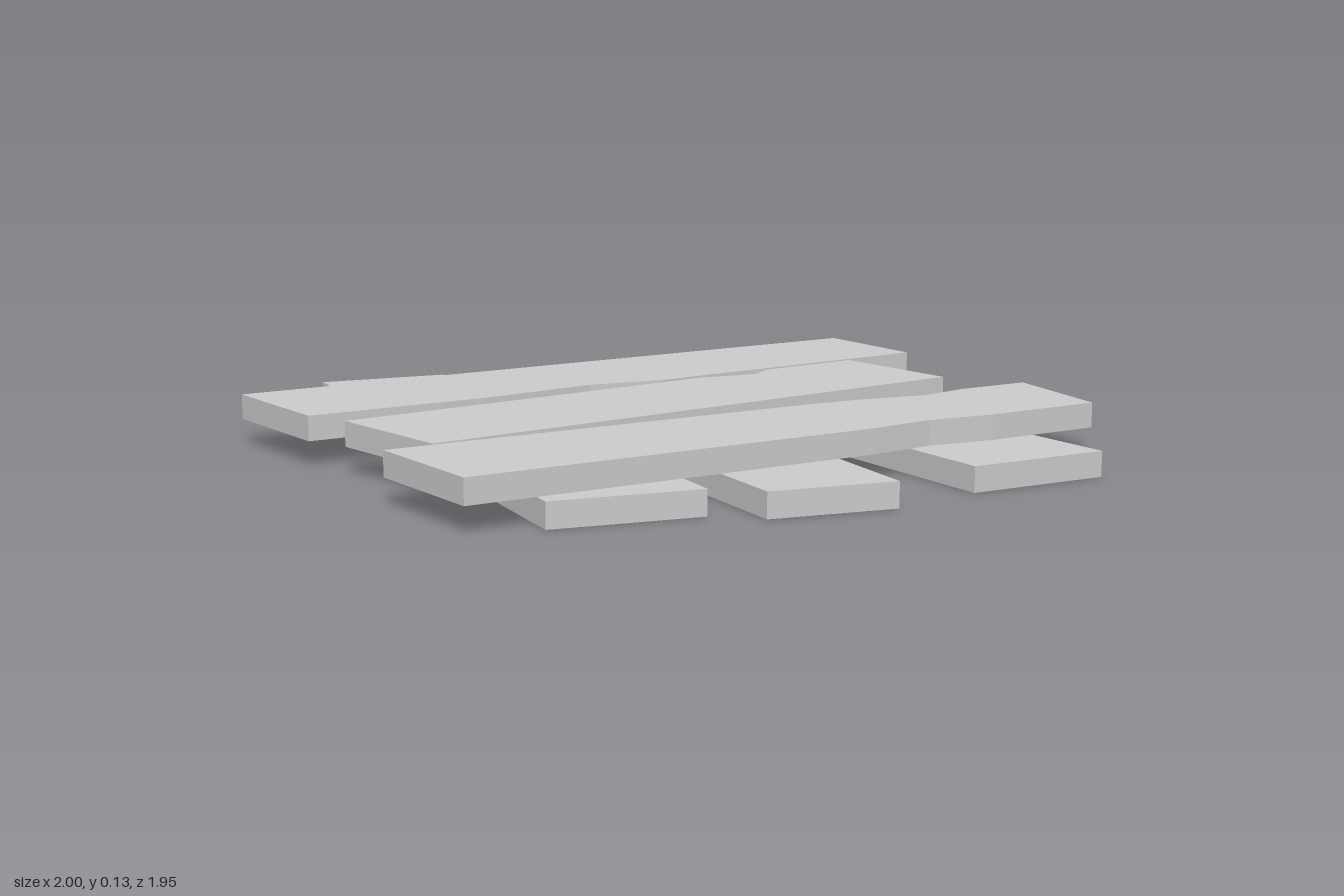
import * as THREE from 'three';

const THICK = 0.063;

// Plank outlines seen from above, as [x, z] corners
const lowerPlanks = {
  lowerPlankRight: [[-0.69, -0.85], [-0.345, -0.88], [-0.17, 0.9], [-0.55, 0.925]],
  lowerPlankMiddle: [[-0.275, -0.7], [0.105, -0.74], [0.27, 0.95], [-0.055, 0.97]],
  lowerPlankLeft: [[0.12, -0.9], [0.455, -0.975], [0.875, 0.755], [0.505, 0.84],
    [0.19, -0.65], [0.15, -0.75]],
};
const upperPlanks = {
  upperPlankBack: [[-1, -0.325], [0.81, -0.81], [0.9, -0.48], [0.21, -0.26], [0.095, -0.22],
    [-0.115, -0.2], [-0.26, -0.145], [-0.42, -0.085], [-0.9, 0.045]],
  upperPlankMiddle: [[-0.83, 0.145], [0.2, -0.225], [0.36, -0.24], [0.41, -0.3],
    [0.69, -0.395], [0.815, -0.04], [-0.7, 0.505]],
  upperPlankFront: [[-0.825, 0.55], [0.325, 0.26], [0.465, 0.235], [0.65, 0.22], [0.78, 0.16],
    [0.975, 0.11], [1, 0.455], [0.69, 0.54], [0.51, 0.565], [0.34, 0.63], [-0.73, 0.92]],
};

export function createModel() {
  const model = new THREE.Group();
  model.name = 'plankPlatform';
  const material = new THREE.MeshStandardMaterial({ color: 0xcccccc, flatShading: true });

  // Extrude every plank of a layer upwards from the given height
  function addLayer(name, planks, y) {
    const layer = new THREE.Group();
    layer.name = name;
    for (const [plankName, outline] of Object.entries(planks)) {
      const shape = new THREE.Shape(outline.map(([x, z]) => new THREE.Vector2(x, -z)));
      const geometry = new THREE.ExtrudeGeometry(shape, { depth: THICK, bevelEnabled: false });
      geometry.rotateX(-Math.PI / 2);
      const plank = new THREE.Mesh(geometry, material);
      plank.name = plankName;
      plank.position.y = y;
      layer.add(plank);
    }
    model.add(layer);
  }

  addLayer('lowerPlanks', lowerPlanks, 0);
  addLayer('upperPlanks', upperPlanks, THICK);
  return model;
}
